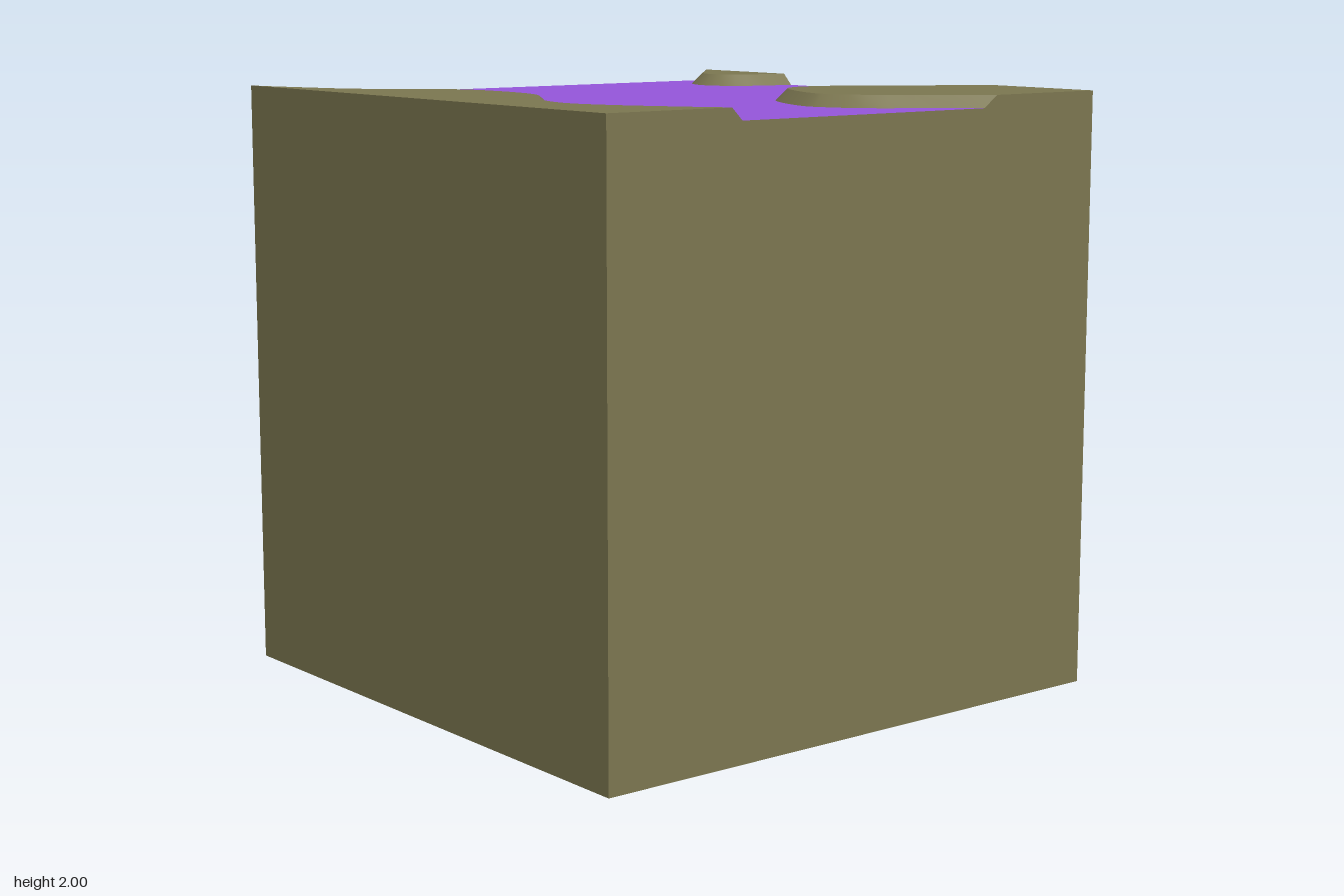
import * as THREE from 'three';

const FLOOR = 1.96, TOP = 2, BEVEL = 0.04;

// Each bank: foot line, lip ends on the block's rim, and block corners that close the outline.
const BANKS = [
  {
    name: 'leftBank',
    foot: [[-0.965, -1], [-0.905, -0.84], [-0.84, -0.68], [-0.8, -0.615], [-0.73, -0.53], [-0.585, -0.41],
      [-0.53, -0.315], [-0.51, -0.18], [-0.51, -0.065], [-0.53, 0.06], [-0.58, 0.165], [-0.675, 0.3],
      [-0.72, 0.39], [-0.743, 0.485], [-0.74, 0.565], [-0.7, 0.675], [-0.635, 0.79], [-0.5, 1]],
    lipEnds: [[-1, -1], [-0.54, 1]],
    corners: [[-1, 1], [-1, -1]],
  },
  {
    name: 'backRightBank',
    foot: [[1, -0.5], [0.9, -0.52], [0.825, -0.545], [0.755, -0.6], [0.727, -0.68], [0.75, -0.77],
      [0.81, -0.85], [0.963, -1]],
    lipEnds: [[1, -0.54], [1, -1]],
    corners: [[1, -1]],
  },
  {
    name: 'frontRightBank',
    foot: [[0.5, 1], [0.33, 0.865], [0.2, 0.765], [0.14, 0.65], [0.127, 0.567], [0.17, 0.435], [0.245, 0.29],
      [0.32, 0.21], [0.42, 0.177], [0.54, 0.2], [0.675, 0.275], [0.835, 0.39], [1, 0.5]],
    lipEnds: [[0.555, 1], [1, 0.545]],
    corners: [[1, 1]],
  },
];

// Strip of quads between a low line and a high line of [x, z] points
function ribbon(low, high) {
  const positions = [], index = [];
  low.forEach(([x, z], i) => {
    positions.push(x, FLOOR, z, high[i][0], TOP, high[i][1]);
    if (i) {
      const a = 2 * i - 2;
      index.push(a, a + 3, a + 2, a, a + 1, a + 3);
    }
  });
  const geometry = new THREE.BufferGeometry();
  geometry.setAttribute('position', new THREE.Float32BufferAttribute(positions, 3));
  geometry.setIndex(index);
  return geometry;
}

function buildBank({ name, foot, lipEnds, corners }, material) {
  const group = new THREE.Group();
  group.name = name;
  const add = (part, geometry) => {
    const mesh = new THREE.Mesh(geometry, material);
    mesh.name = part;
    group.add(mesh);
  };

  // Smooth foot line, and the lip line set in by the bevel width
  const curve = new THREE.SplineCurve(foot.map(([x, z]) => new THREE.Vector2(x, z)));
  const n = (foot.length - 1) * 2;
  const low = [], high = [];
  for (let i = 0; i <= n; i++) {
    const p = curve.getPoint(i / n), t = curve.getTangent(i / n);
    low.push([p.x, p.y]);
    high.push([p.x - t.y * BEVEL, p.y + t.x * BEVEL]);
  }
  high[0] = lipEnds[0];
  high[n] = lipEnds[1];

  // Sloping edge
  const slope = ribbon(low, high);
  slope.computeVertexNormals();
  add('slope', slope);

  // Outer walls, flush with the block
  const walls = ribbon([low[n], ...corners, low[0]], [high[n], ...corners, high[0]]).toNonIndexed();
  walls.computeVertexNormals();
  add('walls', walls);

  // Flat top
  const shape = new THREE.Shape([...high, ...corners].map(([x, z]) => new THREE.Vector2(x, -z)));
  add('plateau', new THREE.ShapeGeometry(shape).rotateX(-Math.PI / 2).translate(0, TOP, 0));
  return group;
}

export function createModel() {
  const model = new THREE.Group();
  model.name = 'terrainBlock';
  const earth = new THREE.MeshStandardMaterial({ color: 0x7c7751 });
  earth.name = 'earth';
  const liquid = new THREE.MeshStandardMaterial({ color: 0x9656dc });
  liquid.name = 'liquid';

  // Block with the liquid as its top face
  const block = new THREE.Mesh(new THREE.BoxGeometry(2, FLOOR, 2), [earth, earth, liquid, earth, earth, earth]);
  block.name = 'block';
  block.position.y = FLOOR / 2;
  model.add(block);

  // Raised banks around the liquid
  for (const bank of BANKS) model.add(buildBank(bank, earth));
  return model;
}
